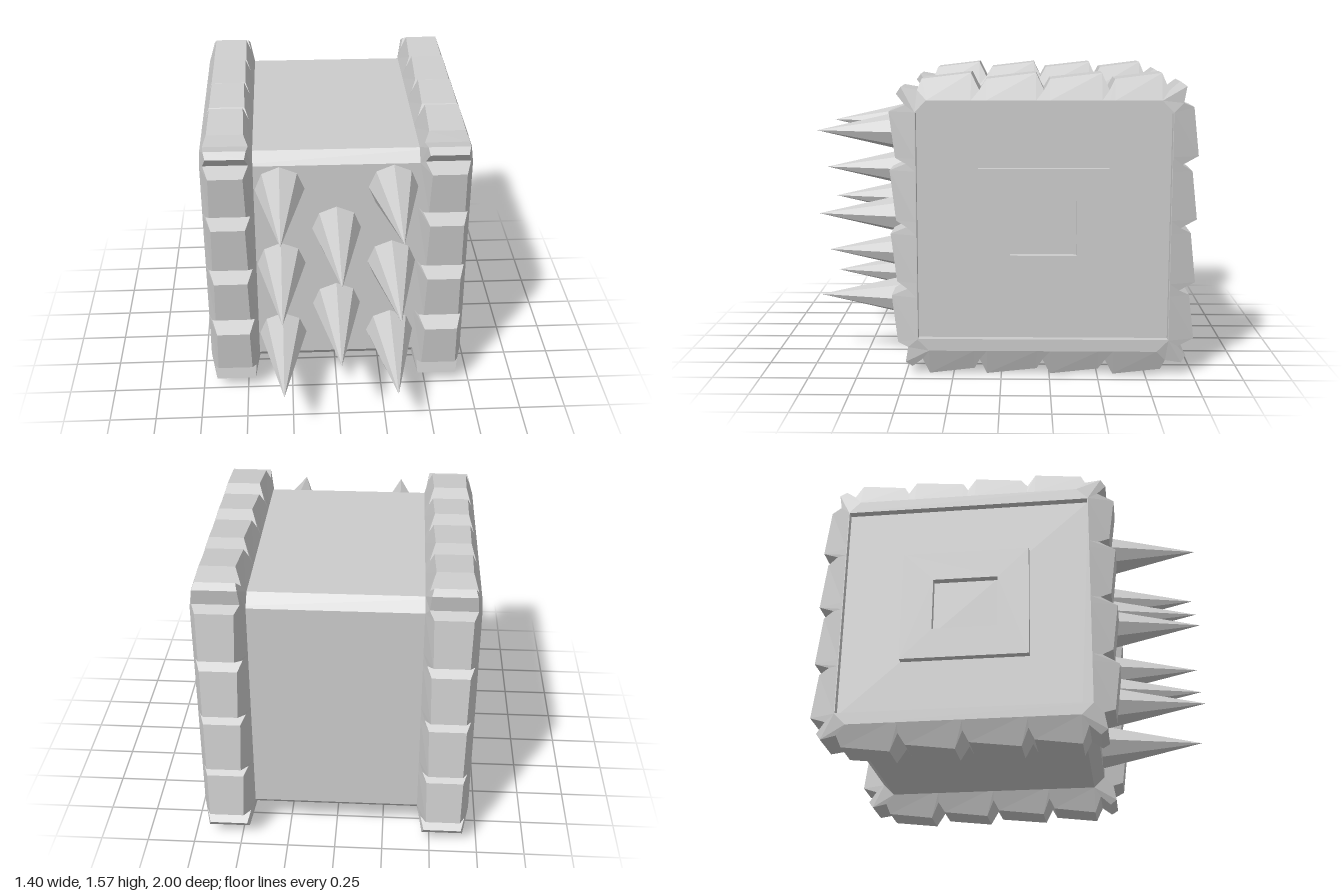
import * as THREE from 'three';

const CY = 0.785, CZ = -0.215;  // centre of the square profile
const H = 0.65, C = 0.59;       // half size of the body and where its corner chamfer starts

const material = new THREE.MeshStandardMaterial({ color: 0xcccccc, flatShading: true });

function mesh(name, geometry, x = 0, y = 0, z = 0) {
  const m = new THREE.Mesh(geometry, material);
  m.name = name;
  m.position.set(x, y, z);
  return m;
}

const toPoints = (list) => list.map(([u, v]) => new THREE.Vector2(u, v));
const rect = (w, h) => [[-w, -h], [w, -h], [w, h], [-w, h]];
const octagon = [[-C, -H], [C, -H], [H, -C], [H, C], [C, H], [-C, H], [-H, C], [-H, -C]];

// Slab extruded along x and centred on x = 0; the outline's u axis points to the back
function slab(outline, width, hole) {
  const shape = new THREE.Shape(toPoints(outline));
  if (hole) shape.holes.push(new THREE.Path(toPoints(hole)));
  const g = new THREE.ExtrudeGeometry(shape, { depth: width, bevelEnabled: false });
  return g.translate(0, 0, -width / 2).rotateY(Math.PI / 2);
}

// Saw-toothed band with sloping flanks, one side pattern turned four times
function treadGeometry() {
  const side = [
    [-0.637, 0.70], [-0.615, 0.755], [-0.367, 0.785],
    [-0.325, 0.70], [-0.29, 0.755], [-0.04, 0.785],
    [0, 0.70], [0.03, 0.755], [0.29, 0.785],
    [0.327, 0.70], [0.355, 0.755], [0.59, 0.785],
    [0.625, 0.70], [0.68, 0.745], [0.715, 0.72],
  ];
  const rings = [[], [], [], []];
  for (let turn = 0; turn < 4; turn++) {
    const place = (x, a, r) => {
      for (let k = 0; k < turn; k++) [a, r] = [r, -a];
      return [x, r, -a];
    };
    for (const [a, r] of side) {
      const foot = THREE.MathUtils.clamp(a, -C, C);
      const half = 0.135 - 0.047 * Math.min(1, (r - H) / 0.12);
      rings[0].push(place(0.135, foot, H));
      rings[1].push(place(half, a, r));
      rings[2].push(place(-half, a, r));
      rings[3].push(place(-0.135, foot, H));
    }
  }
  const pos = [], n = rings[0].length;
  for (let k = 0; k < 3; k++) {
    for (let i = 0; i < n; i++) {
      const j = (i + 1) % n;
      const a = rings[k][i], b = rings[k][j], c = rings[k + 1][j], d = rings[k + 1][i];
      pos.push(...a, ...b, ...c, ...a, ...c, ...d);
    }
  }
  const g = new THREE.BufferGeometry();
  g.setAttribute('position', new THREE.Float32BufferAttribute(pos, 3));
  g.computeVertexNormals();
  return g;
}

export function createModel() {
  const group = new THREE.Group();

  // Chamfered block, its ends forming the recessed side panels
  group.add(mesh('body', slab(octagon, 1.32), 0, CY, CZ));

  // Toothed bands, panel rims and raised square frames on both sides
  const tread = treadGeometry();
  const rim = slab(octagon, 0.04, rect(0.646, 0.587));
  const frame = slab(rect(0.333, 0.305), 0.04, rect(0.17, 0.143));
  for (const [label, s] of [['left', 1], ['right', -1]]) {
    group.add(mesh(label + 'Tread', tread, s * 0.565, CY, CZ));
    group.add(mesh(label + 'PanelRim', rim, s * 0.68, CY, CZ));
    group.add(mesh(label + 'SquareFrame', frame, s * 0.68, CY, CZ));
  }

  // Spikes on the front face: two columns of three and a middle column of two
  const spike = new THREE.ConeGeometry(0.13, 0.57, 8).rotateX(Math.PI / 2);
  const spots = [[0, 1.0], [0, 0.52]];
  for (const y of [1.24, 0.785, 0.33]) spots.push([0.295, y], [-0.295, y]);
  for (const [x, y] of spots) group.add(mesh('spike', spike, x, y, 0.715));

  return group;
}
